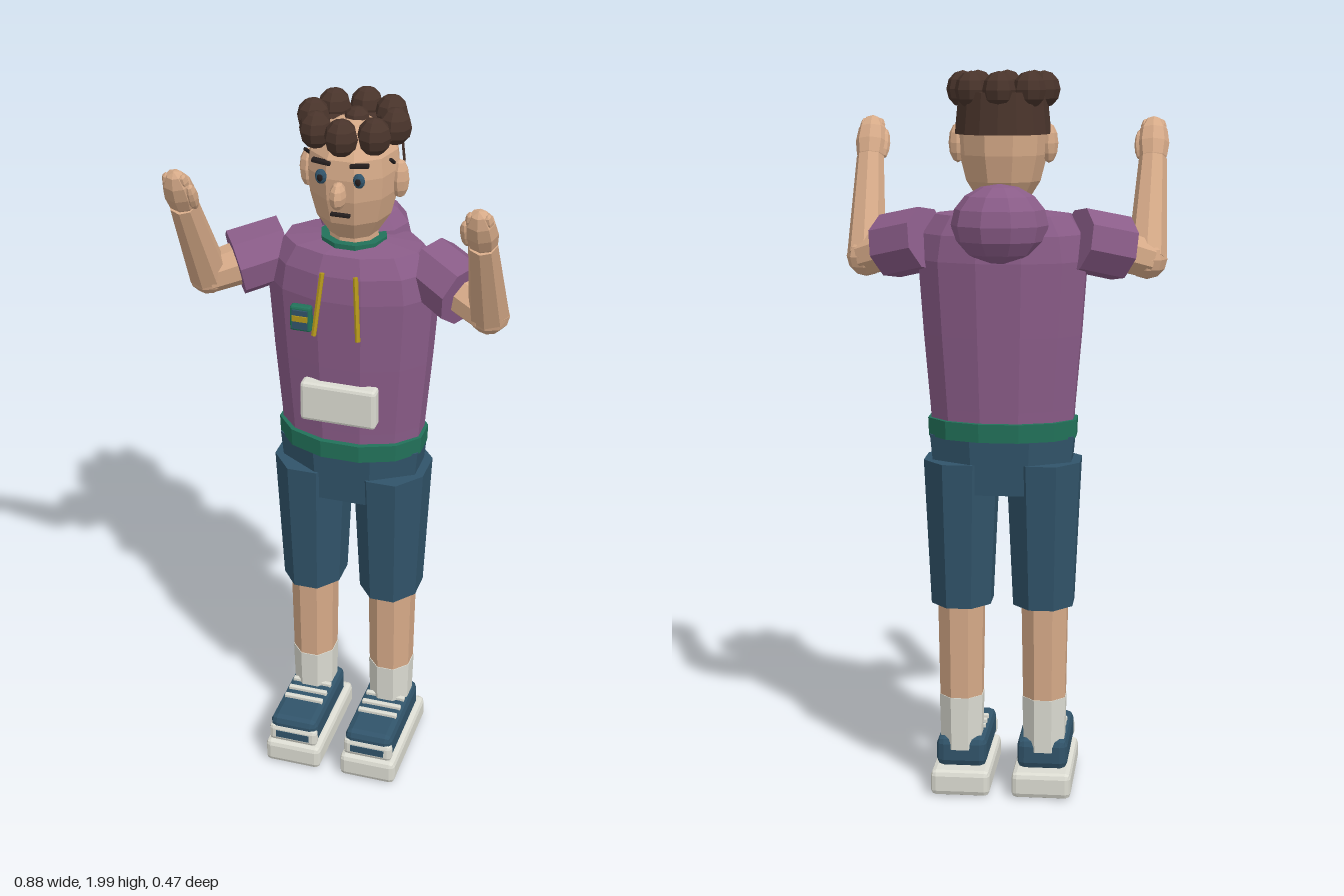
import * as THREE from 'three';
import { RoundedBoxGeometry } from 'three/addons/geometries/RoundedBoxGeometry.js';

const colours = {
  skin: 0xd6aa88, hair: 0x49342b, purple: 0x8a5c88, navy: 0x31546a, green: 0x22725a,
  gold: 0xb5981c, offWhite: 0xdcdcd2, ink: 0x241e1e,
};
const mats = {};
for (const [name, color] of Object.entries(colours)) {
  mats[name] = new THREE.MeshStandardMaterial({ color, flatShading: true });
  mats[name].name = name;
}

const V = (x, y, z) => new THREE.Vector3(x, y, z);
const MID = -0.03; // depth of the body's axis

export function createModel() {
  const model = new THREE.Group();
  model.name = 'standingFigure';

  const add = (name, geometry, mat, x = 0, y = 0, z = 0) => {
    const mesh = new THREE.Mesh(geometry, mats[mat]);
    mesh.name = name;
    mesh.position.set(x, y, z);
    model.add(mesh);
    return mesh;
  };
  // Box with chamfered edges
  const box = (name, mat, w, h, d, x, y, z, bevel = 0.015) =>
    add(name, new RoundedBoxGeometry(w, h, d, 1, bevel), mat, x, y, z);
  // Faceted ellipsoid
  const ball = (name, mat, rx, ry, rz, x, y, z, sides = 8, rows = 6) => {
    const mesh = add(name, new THREE.SphereGeometry(1, sides, rows), mat, x, y, z);
    mesh.scale.set(rx, ry, rz);
    return mesh;
  };
  // Turned shape from [radius, height] pairs, flattened in depth
  const turned = (name, mat, profile, depth, sides, x = 0, z = MID) => {
    const geo = new THREE.LatheGeometry(profile.map(p => new THREE.Vector2(...p)), sides);
    geo.rotateY(Math.PI / sides).scale(1 / Math.cos(Math.PI / sides), 1, depth);
    return add(name, geo, mat, x, 0, z);
  };
  // Tapered limb between two points
  const limb = (name, mat, a, b, ra, rb, sides = 8) => {
    const dir = b.clone().sub(a);
    const mesh = add(name, new THREE.CylinderGeometry(rb, ra, dir.length(), sides), mat);
    mesh.position.copy(a).add(b).multiplyScalar(0.5);
    mesh.quaternion.setFromUnitVectors(V(0, 1, 0), dir.normalize());
    return mesh;
  };

  // Hooded top
  turned('torso', 'purple', [[0, 1.03], [0.19, 1.03], [0.195, 1.1], [0.212, 1.3], [0.226, 1.5],
    [0.214, 1.57], [0.18, 1.622], [0.08, 1.635], [0, 1.635]], 0.64, 12);
  turned('hem', 'green', [[0, 1.02], [0.2, 1.02], [0.202, 1.07], [0, 1.07]], 0.69, 12);
  ball('hood', 'purple', 0.13, 0.108, 0.108, 0, 1.6, -0.128, 10, 8);
  turned('collar', 'green', [[0, 1.6], [0.085, 1.6], [0.085, 1.642], [0, 1.642]], 1, 10);
  turned('neck', 'skin', [[0.065, 1.6], [0.062, 1.7]], 1, 10);
  box('frontPocket', 'offWhite', 0.21, 0.115, 0.045, 0, 1.198, 0.102, 0.01);

  // Badge with bands
  box('badge', 'green', 0.058, 0.072, 0.025, -0.1, 1.446, 0.112, 0.006);
  add('badgePanel', new THREE.BoxGeometry(0.042, 0.054, 0.006), 'navy', -0.1, 1.446, 0.126);
  add('badgeBand', new THREE.BoxGeometry(0.042, 0.016, 0.006), 'gold', -0.1, 1.45, 0.129);

  // Head
  turned('head', 'skin', [[0, 1.652], [0.062, 1.655], [0.095, 1.71], [0.112, 1.78], [0.116, 1.84],
    [0.11, 1.89], [0.085, 1.93], [0.045, 1.952], [0, 1.957]], 1.12, 10);
  ball('nose', 'skin', 0.022, 0.037, 0.032, 0, 1.805, 0.11);
  box('mouth', 'ink', 0.052, 0.009, 0.012, 0, 1.744, 0.09, 0.002);

  // Hair: a ring of curls, a crown curl and a cap around the back
  for (let i = 0; i < 8; i++) {
    const a = i * Math.PI / 4;
    ball('curl', 'hair', 0.044, 0.049, 0.044, 0.108 * Math.sin(a), 1.951, MID + 0.112 * Math.cos(a), 8, 6);
  }
  ball('crownCurl', 'hair', 0.034, 0.03, 0.034, 0, 1.95, -0.055);
  const capGeo = new THREE.CylinderGeometry(0.118, 0.129, 0.11, 8, 1, false, Math.PI / 2, Math.PI);
  add('backHair', capGeo, 'hair', 0, 1.89, -0.04).scale.z = 1.07;

  // Hips
  const hips = new THREE.CylinderGeometry(0.2, 0.185, 0.155, 8);
  hips.rotateY(Math.PI / 8).scale(1.06, 1, 0.64);
  add('hips', hips, 'navy', 0, 0.948, MID);

  for (const s of [1, -1]) {
    // Face details and drawstrings
    ball('ear', 'skin', 0.025, 0.053, 0.027, s * 0.122, 1.81, MID);
    ball('eye', 'navy', 0.016, 0.02, 0.012, s * 0.05, 1.845, 0.092);
    ball('pupil', 'ink', 0.008, 0.01, 0.006, s * 0.05, 1.845, 0.101);
    box('brow', 'ink', 0.05, 0.011, 0.016, s * 0.05, 1.884, 0.088, 0.003).rotation.z = s * 0.12;
    box('templeMark', 'ink', 0.008, 0.008, 0.042, s * 0.113, 1.873, 0.01, 0.002).rotation.x = -0.6;
    limb('drawstring', 'gold', V(s * 0.045, 1.58, 0.105), V(s * 0.06, 1.41, 0.133), 0.007, 0.007, 6);

    // Raised arm
    const elbow = V(s * 0.384, 1.497, 0.038), wrist = V(s * 0.392, 1.76, 0.172);
    limb('sleeve', 'purple', V(s * 0.2, 1.557, -0.058), V(s * 0.315, 1.527, 0.014), 0.088, 0.09);
    limb('upperArm', 'skin', V(s * 0.24, 1.545, -0.03), elbow, 0.062, 0.054);
    ball('elbow', 'skin', 0.055, 0.055, 0.055, ...elbow);
    limb('forearm', 'skin', elbow, wrist, 0.054, 0.038);
    const hand = ball('hand', 'skin', 0.044, 0.08, 0.036, s * 0.392, 1.8, 0.194);
    hand.rotation.x = 0.46;
    const thumb = ball('thumb', 'skin', 0.016, 0.045, 0.018, s * 0.356, 1.795, 0.2);
    thumb.rotation.x = 0.46;
    for (let i = 0; i < 3; i++) {
      ball('finger', 'skin', 0.014, 0.03, 0.016, s * (0.37 + i * 0.022), 1.837, 0.216, 6, 5).rotation.x = 0.46;
    }

    // Shorts leg
    const leg = new THREE.CylinderGeometry(0.105, 0.086, 0.405, 8);
    leg.rotateY(Math.PI / 8).scale(1.03, 1, 1.25);
    add('shortsLeg', leg, 'navy', s * 0.113, 0.7525, MID);

    // Shin and sock
    turned('shin', 'skin', [[0.058, 0.27], [0.063, 0.58]], 1.2, 8, s * 0.116);
    turned('sock', 'offWhite', [[0.056, 0.13], [0.06, 0.283], [0, 0.283]], 1.2, 8, s * 0.116);

    // Shoe
    const x = s * 0.113;
    box('sole', 'offWhite', 0.165, 0.072, 0.342, x, 0.043, 0.044);
    box('shoeUpper', 'navy', 0.14, 0.086, 0.294, x, 0.122, 0.058, 0.02);
    box('toeBumper', 'offWhite', 0.144, 0.054, 0.03, x, 0.111, 0.195, 0.012);
    add('toeStripe', new THREE.BoxGeometry(0.1, 0.022, 0.006), 'navy', x, 0.111, 0.209);
    for (const z of [0.1, 0.06, 0.018]) {
      box('lace', 'offWhite', 0.116, 0.014, 0.014, x, 0.168, z, 0.003);
    }
  }

  return model;
}
